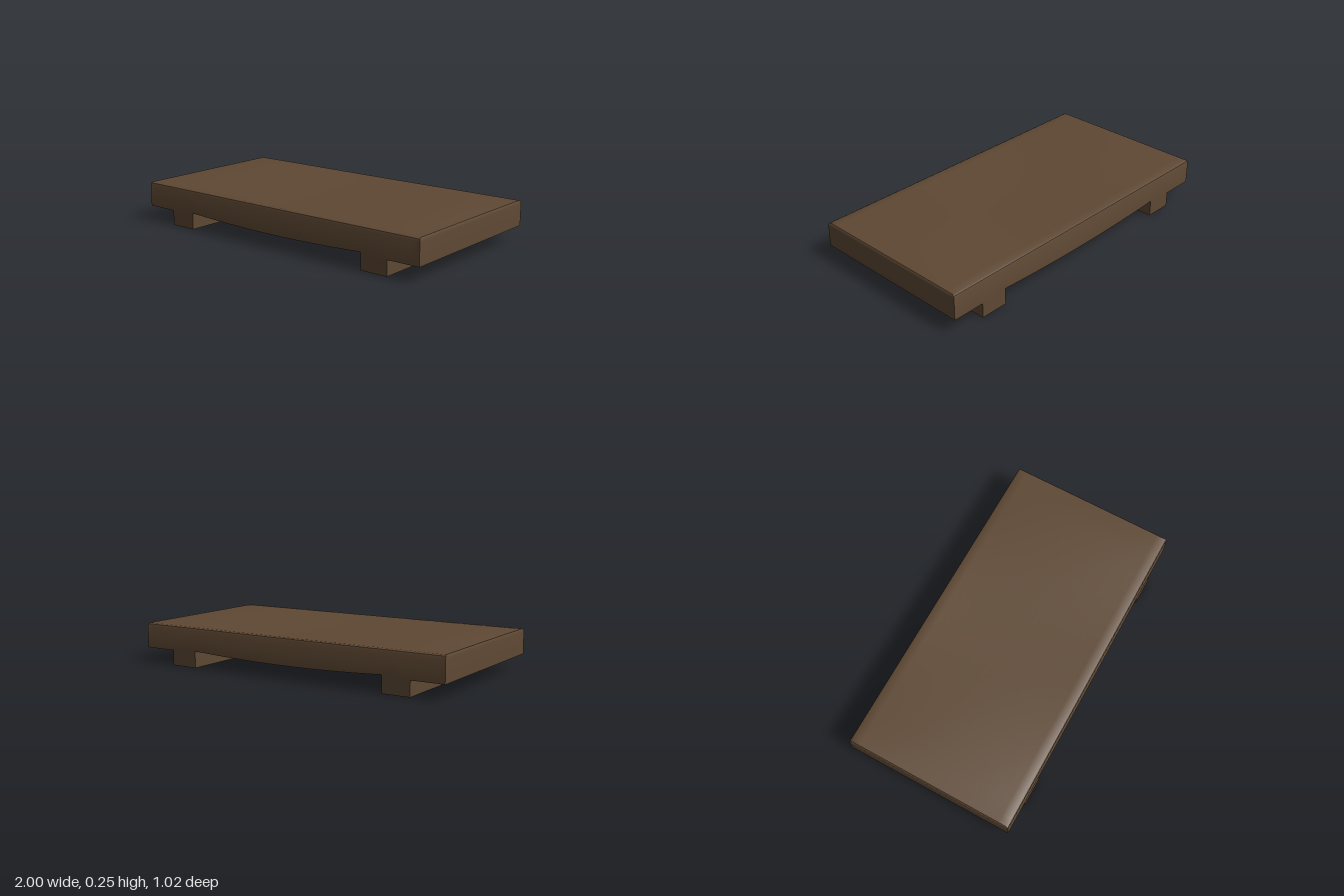
import * as THREE from 'three';
import { toCreasedNormals } from 'three/addons/utils/BufferGeometryUtils.js';

const HALF_X = 1, HALF_Z = 0.512;

// Gently warped top: a low crown over each foot, flat along the rim
function topHeight(x, z) {
  const across = 1 - (z / HALF_Z) ** 2;
  const ax = Math.abs(x);
  const crown = ax > 0.8 ? 1 - ((ax - 0.8) / 0.2) ** 2 : Math.cos((0.8 - ax) / 0.8 * Math.PI);
  return 0.24 + 0.011 * across * crown;
}

// Underside: sagging between the feet, level on the overhanging ends
function bottomHeight(x, z) {
  const ax = Math.abs(x);
  if (ax > 0.72) return 0.09;
  const edge = (z / HALF_Z) ** 2;
  return 0.081 + (0.006 + 0.013 * edge) * (ax / 0.63) ** 2;
}

function boardGeometry() {
  const geo = new THREE.BoxGeometry(2, 2, 2, 40, 3, 20);
  const p = geo.attributes.position;
  // rows from bottom to top: lower edge, wall top, rounding, top edge
  const drop = [0, 0.017, 0.006, 0];
  const inset = [0, 0, 0.004, 0.015];
  for (let i = 0; i < p.count; i++) {
    const row = Math.round((p.getY(i) + 1) * 1.5);
    const x = p.getX(i) * (HALF_X - inset[row] * 0.4);
    const z = p.getZ(i) * (HALF_Z - inset[row]);
    const y = row === 0 ? bottomHeight(x, z) : topHeight(x, z) - drop[row];
    p.setXYZ(i, x, y, z);
  }
  return toCreasedNormals(geo, 0.6);
}

export function createModel() {
  const group = new THREE.Group();
  group.name = 'lowTable';
  const wood = new THREE.MeshStandardMaterial({ color: 0x5e4833 });

  const board = new THREE.Mesh(boardGeometry(), wood);
  board.name = 'board';
  group.add(board);

  // Two full-depth runners carry the board
  for (const side of [-1, 1]) {
    const foot = new THREE.Mesh(new THREE.BoxGeometry(0.17, 0.15, HALF_Z * 2 - 0.002), wood);
    foot.position.set(side * 0.717, 0.075, 0);
    foot.name = side > 0 ? 'leftFoot' : 'rightFoot';
    group.add(foot);
  }
  return group;
}
